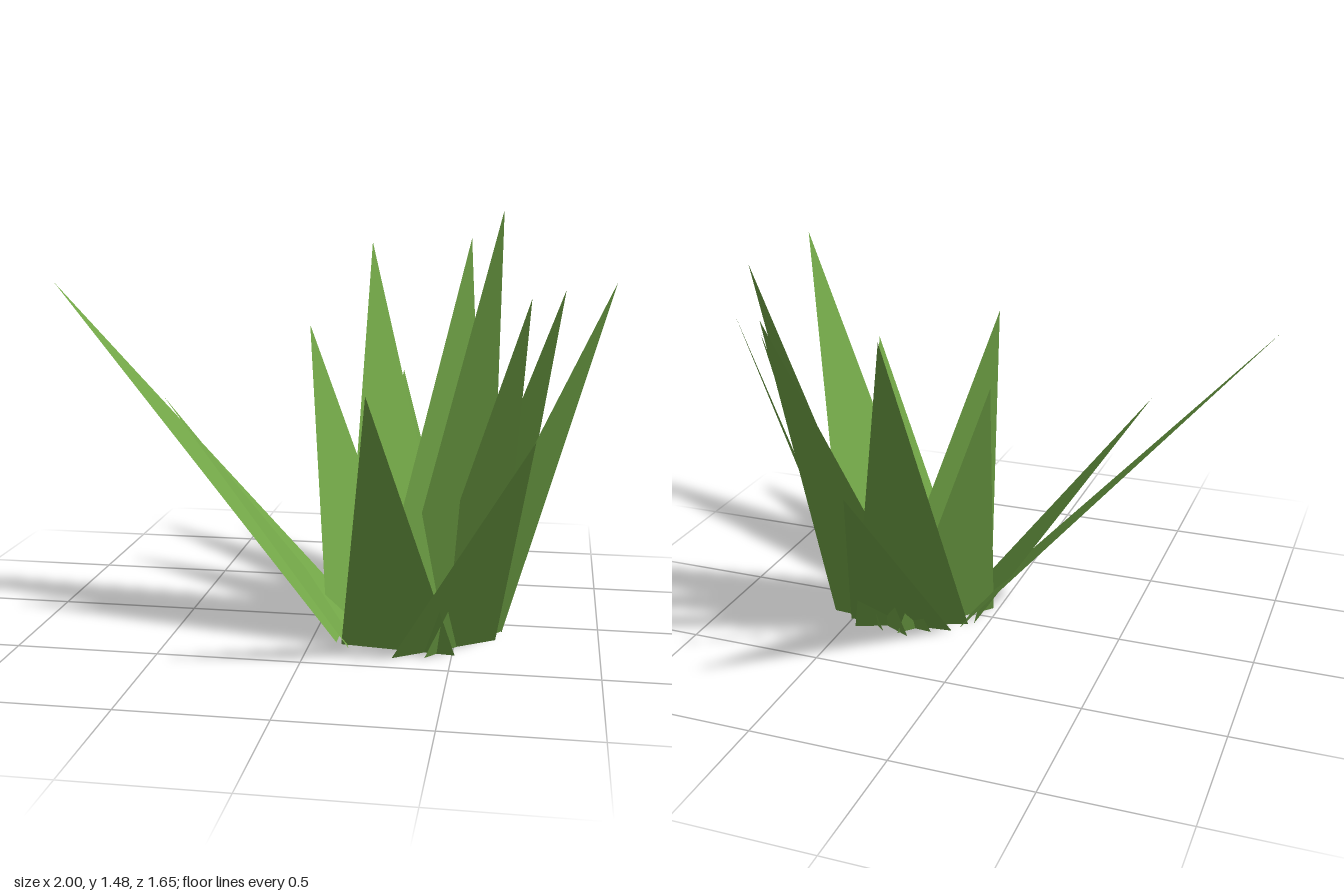
import * as THREE from 'three';

// Each blade: tip [x, y, z], then its two ground corners [x, z], going round the clump
const BLADES = [
  { tip: [-1.0, 1.23, 0.03], a: [0.09, -0.125], b: [0.09, 0.285] },
  { tip: [-0.52, 0.86, 0.28], a: [0.05, -0.07], b: [0.14, 0.335] },
  { tip: [0.26, 0.97, 0.82], a: [0.11, 0.3], b: [0.51, 0.35] },
  { tip: [0.77, 0.83, 0.73], a: [0.3, 0.41], b: [0.64, 0.17] },
  { tip: [1.0, 1.3, 0.57], a: [0.41, 0.39], b: [0.66, 0.07] },
  { tip: [0.855, 1.2, -0.3], a: [0.66, 0.08], b: [0.41, -0.23] },
  { tip: [0.73, 1.16, -0.35], a: [0.65, 0.03], b: [0.35, -0.24] },
  { tip: [0.61, 1.48, -0.61], a: [0.61, -0.07], b: [0.25, -0.245] },
  { tip: [0.475, 1.36, -0.8], a: [0.59, -0.15], b: [0.18, -0.185] },
  { tip: [0.2, 0.81, -0.83], a: [0.505, -0.19], b: [0.11, -0.15] },
  { tip: [0.065, 1.34, -0.83], a: [0.465, -0.24], b: [0.07, -0.08] },
  { tip: [-0.11, 1.05, -0.33], a: [0.295, -0.235], b: [0.02, 0.07] },
];

// Flat triangular blade whose front looks inwards and up
function bladeGeometry({ tip, a, b }) {
  const corners = [a[0], 0, a[1], ...tip, b[0], 0, b[1]];
  const geometry = new THREE.BufferGeometry();
  geometry.setAttribute('position', new THREE.Float32BufferAttribute(corners, 3));
  geometry.computeVertexNormals();
  return geometry;
}

export function createModel() {
  const grassGreen = new THREE.MeshStandardMaterial({ color: 0x72a647, side: THREE.DoubleSide });
  grassGreen.name = 'grassGreen';

  const clump = new THREE.Group();
  clump.name = 'grassClump';
  BLADES.forEach((blade, i) => {
    const mesh = new THREE.Mesh(bladeGeometry(blade), grassGreen);
    mesh.name = `grassBlade${i + 1}`;
    clump.add(mesh);
  });
  return clump;
}
